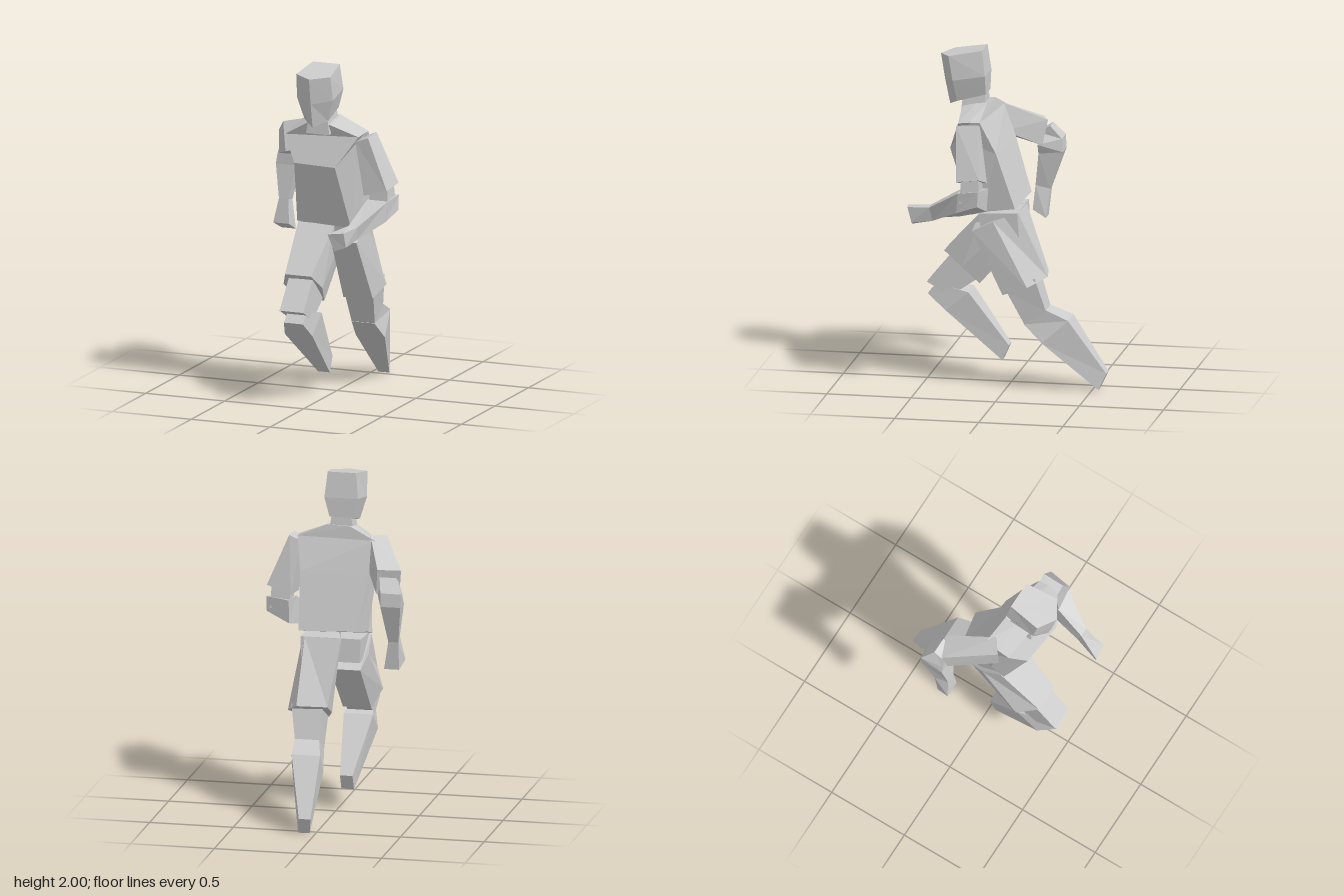
import * as THREE from 'three';

// Closed faceted body through rings of equal corner count
function loft(name, rings, material) {
  const n = rings[0].length, tris = [];
  for (let i = 0; i < rings.length - 1; i++) {
    for (let j = 0; j < n; j++) {
      const k = (j + 1) % n;
      const [a, b, c, d] = [rings[i][j], rings[i][k], rings[i + 1][k], rings[i + 1][j]];
      tris.push([a, b, c], [a, c, d]);
    }
  }
  const last = rings[rings.length - 1];
  for (let j = 1; j < n - 1; j++) {
    tris.push([rings[0][0], rings[0][j + 1], rings[0][j]], [last[0], last[j], last[j + 1]]);
  }
  // Turn the faces outward whichever way the rings run
  let volume = 0;
  for (const [a, b, c] of tris) {
    volume += new THREE.Vector3(...a).dot(new THREE.Vector3(...b).cross(new THREE.Vector3(...c)));
  }
  if (volume < 0) tris.forEach((t) => t.reverse());
  const geometry = new THREE.BufferGeometry();
  geometry.setAttribute('position', new THREE.Float32BufferAttribute(tris.flat(2), 3));
  geometry.computeVertexNormals();
  const mesh = new THREE.Mesh(geometry, material);
  mesh.name = name;
  return mesh;
}

// Four-cornered ring: x range at the front edge (y, z) and at the back edge (y, z)
const ring = (x0, x1, yf, zf, yb, zb, bx0 = x0, bx1 = x1) =>
  [[x0, yf, zf], [x1, yf, zf], [bx1, yb, zb], [bx0, yb, zb]];

// Five-cornered head ring: back corners, cheeks and a ridge at the front
const headRing = (wb, yb, zb, ws, ys, zs, yt, zt) =>
  [[-wb, yb, zb], [wb, yb, zb], [ws, ys, zs], [0, yt, zt], [-ws, ys, zs]];

export function createModel() {
  const group = new THREE.Group();
  const grey = new THREE.MeshStandardMaterial({ color: 0xcccccc });
  grey.name = 'light grey';
  grey.flatShading = true;

  const parts = {
    head: [
      headRing(0.07, 1.735, 0.14, 0.075, 1.69, 0.31, 1.655, 0.365),
      headRing(0.1, 1.85, 0.14, 0.113, 1.82, 0.33, 1.8, 0.395),
      headRing(0.085, 2.0, 0.16, 0.108, 1.965, 0.355, 1.955, 0.42),
    ],
    neck: [
      ring(-0.075, 0.075, 1.6, 0.29, 1.64, 0.14),
      ring(-0.055, 0.055, 1.71, 0.28, 1.76, 0.15),
    ],
    // Corners: front right, front left, side left, back left, back right, side right
    torso: [
      [[-0.18, 1.04, 0.17], [0.175, 1.035, 0.205], [0.19, 1.06, 0.13],
        [0.21, 1.09, -0.06], [-0.145, 1.11, -0.09], [-0.175, 1.07, 0.08]],
      [[-0.14, 1.42, 0.31], [0.13, 1.42, 0.34], [0.225, 1.48, 0.22],
        [0.225, 1.42, 0.05], [-0.19, 1.42, 0.01], [-0.22, 1.48, 0.16]],
      [[-0.23, 1.57, 0.235], [0.25, 1.6, 0.27], [0.26, 1.61, 0.2],
        [0.26, 1.61, 0.14], [-0.215, 1.62, 0.08], [-0.23, 1.59, 0.16]],
      [[-0.07, 1.66, 0.27], [0.07, 1.66, 0.28], [0.08, 1.68, 0.2],
        [0.08, 1.69, 0.13], [-0.06, 1.69, 0.11], [-0.08, 1.68, 0.18]],
    ],
    pelvis: [
      ring(-0.16, 0.19, 0.92, 0.14, 0.92, -0.08),
      ring(-0.165, 0.195, 1.05, 0.16, 1.06, -0.07),
    ],

    // Right leg swings forward
    rightShorts: [
      [[-0.18, 1.04, 0.15], [0.05, 1.03, 0.16], [0.05, 0.95, 0.02],
        [0.02, 0.87, -0.06], [-0.16, 0.87, -0.06], [-0.19, 0.95, 0.03]],
      [[-0.16, 0.77, 0.4], [0.005, 0.77, 0.4], [0.03, 0.68, 0.29],
        [0.0, 0.58, 0.19], [-0.17, 0.58, 0.19], [-0.22, 0.68, 0.28]],
    ],
    rightThigh: [
      ring(-0.15, 0, 0.75, 0.36, 0.61, 0.2),
      ring(-0.15, 0, 0.575, 0.505, 0.5, 0.36),
    ],
    rightShin: [
      ring(-0.125, -0.005, 0.505, 0.5, 0.565, 0.44),
      ring(-0.165, 0.01, 0.41, 0.39, 0.525, 0.255),
      ring(-0.095, -0.02, 0.12, 0.06, 0.21, 0.02),
    ],

    // Left leg trails behind
    leftShorts: [
      [[0.05, 0.95, 0.21], [0.205, 0.945, 0.195], [0.215, 1.01, 0.07],
        [0.17, 1.06, -0.07], [-0.05, 1.06, -0.08], [-0.01, 1.07, 0.07]],
      [[0.04, 0.565, 0], [0.23, 0.575, 0.01], [0.255, 0.63, -0.14],
        [0.18, 0.685, -0.25], [0, 0.68, -0.22], [0, 0.62, -0.1]],
    ],
    leftThigh: [
      ring(0.04, 0.225, 0.6, -0.01, 0.68, -0.18),
      ring(0.045, 0.19, 0.39, -0.115, 0.48, -0.24),
    ],
    leftShin: [
      ring(0.045, 0.19, 0.395, -0.11, 0.485, -0.24),
      ring(0.025, 0.21, 0.29, -0.22, 0.425, -0.37, 0.01, 0.18),
      ring(0.035, 0.105, 0.0, -0.535, 0.095, -0.58, 0.02, 0.09),
    ],

    // Left arm, bent with the hand forward
    leftSleeve: [
      [[0.23, 1.57, 0.27], [0.31, 1.6, 0.27], [0.31, 1.61, 0.14], [0.24, 1.58, 0.14]],
      [[0.28, 1.25, 0.26], [0.42, 1.29, 0.25], [0.437, 1.31, 0.11], [0.29, 1.26, 0.09]],
    ],
    leftElbow: [
      ring(0.3, 0.41, 1.31, 0.22, 1.31, 0.12),
      ring(0.3, 0.42, 1.16, 0.23, 1.17, 0.11),
    ],
    leftForearm: [
      [[0.3, 1.23, 0.08], [0.44, 1.24, 0.115], [0.44, 1.15, 0.12], [0.3, 1.09, 0.09]],
      [[0.29, 1.22, 0.24], [0.42, 1.22, 0.24], [0.41, 1.1, 0.25], [0.28, 1.05, 0.25]],
      [[0.255, 1.105, 0.43], [0.31, 1.1, 0.43], [0.3, 1.02, 0.41], [0.25, 1.025, 0.41]],
      [[0.185, 1.08, 0.58], [0.28, 1.09, 0.565], [0.285, 1.0, 0.54], [0.215, 0.975, 0.55]],
    ],

    // Right arm, elbow back and hand hanging
    rightSleeve: [
      [[-0.18, 1.64, 0.12], [-0.265, 1.63, 0.18], [-0.25, 1.45, 0.18], [-0.17, 1.46, 0.08]],
      [[-0.285, 1.51, -0.16], [-0.415, 1.5, -0.11], [-0.4, 1.37, -0.08], [-0.27, 1.36, -0.13]],
    ],
    rightForearm: [
      ring(-0.4, -0.3, 1.43, -0.1, 1.47, -0.17),
      ring(-0.42, -0.27, 1.36, -0.1, 1.39, -0.235, -0.445, -0.32),
      ring(-0.43, -0.3, 1.3, -0.1, 1.31, -0.24, -0.44, -0.32),
      ring(-0.4, -0.34, 1.1, -0.075, 1.08, -0.16, -0.41, -0.35),
      ring(-0.43, -0.33, 0.955, -0.06, 0.91, -0.14, -0.41, -0.32),
    ],
  };
  for (const [name, rings] of Object.entries(parts)) group.add(loft(name, rings, grey));
  return group;
}
